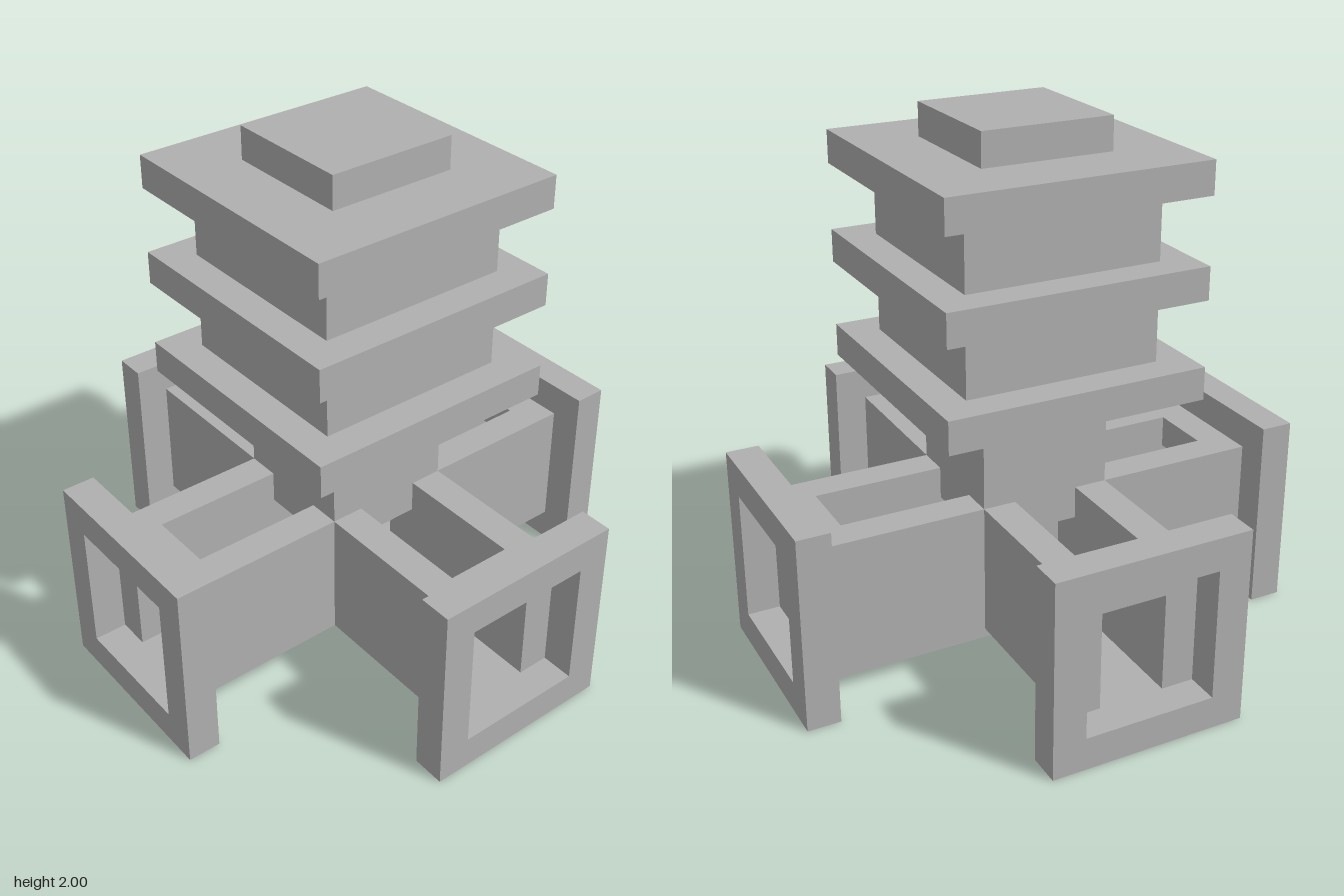
import * as THREE from 'three';

const stone = new THREE.MeshStandardMaterial({ color: 0xb0b0b0 });
stone.name = 'grey stone';

// Box given by its minimum and maximum corners
function block(name, [x0, y0, z0], [x1, y1, z1]) {
  const mesh = new THREE.Mesh(new THREE.BoxGeometry(x1 - x0, y1 - y0, z1 - z0), stone);
  mesh.position.set((x0 + x1) / 2, (y0 + y1) / 2, (z0 + z1) / 2);
  mesh.name = name;
  return mesh;
}

// Square slab centred on the vertical axis
const tier = (name, half, y0, y1) => block(name, [-half, y0, -half], [half, y1, half]);

function rectangle(PathType, x0, y0, x1, y1) {
  return new PathType([[x0, y0], [x1, y0], [x1, y1], [x0, y1]].map(([x, y]) => new THREE.Vector2(x, y)));
}

// One entrance arm, pointing to +z
function createArm() {
  const arm = new THREE.Group();

  // Square portal frame at the end
  const outline = rectangle(THREE.Shape, -0.375, 0, 0.375, 0.75);
  outline.holes.push(rectangle(THREE.Path, -0.25, 0.125, 0.25, 0.625));
  const frame = new THREE.Mesh(
    new THREE.ExtrudeGeometry(outline, { depth: 0.125, bevelEnabled: false }), stone);
  frame.position.z = 0.875;
  frame.name = 'portalFrame';
  arm.add(frame);

  // Narrow floor, side walls and lintel, open above between lintel and tower
  arm.add(block('floor', [-0.125, 0, 0.125], [0.125, 0.125, 0.875]));
  for (const side of [-1, 1]) {
    const wall = block('sideWall', [-0.0625, 0.125, 0.25], [0.0625, 0.625, 0.875]);
    wall.position.x = side * 0.1875;
    arm.add(wall);
  }
  arm.add(block('lintel', [-0.125, 0.5, 0.75], [0.125, 0.625, 0.875]));

  // Corner post under the tower, one per arm
  arm.add(block('cornerPost', [0.125, 0.125, 0.125], [0.25, 0.5, 0.25]));
  return arm;
}

export function createModel() {
  const model = new THREE.Group();
  model.name = 'tieredTower';

  // Four arms around the crossing
  for (let i = 0; i < 4; i++) {
    const arm = createArm();
    arm.name = ['frontArm', 'leftArm', 'backArm', 'rightArm'][i];
    arm.rotation.y = i * Math.PI / 2;
    model.add(arm);
  }
  model.add(tier('crossingFloor', 0.125, 0, 0.125));

  // Tower, from the neck up to the cap
  model.add(tier('neck', 0.25, 0.5, 1));
  for (const y of [1, 1.375, 1.75]) model.add(tier('eave', 0.5, y, y + 0.125));
  for (const y of [1.125, 1.5]) model.add(tier('storey', 0.375, y, y + 0.25));
  model.add(tier('cap', 0.25, 1.875, 2));
  return model;
}
